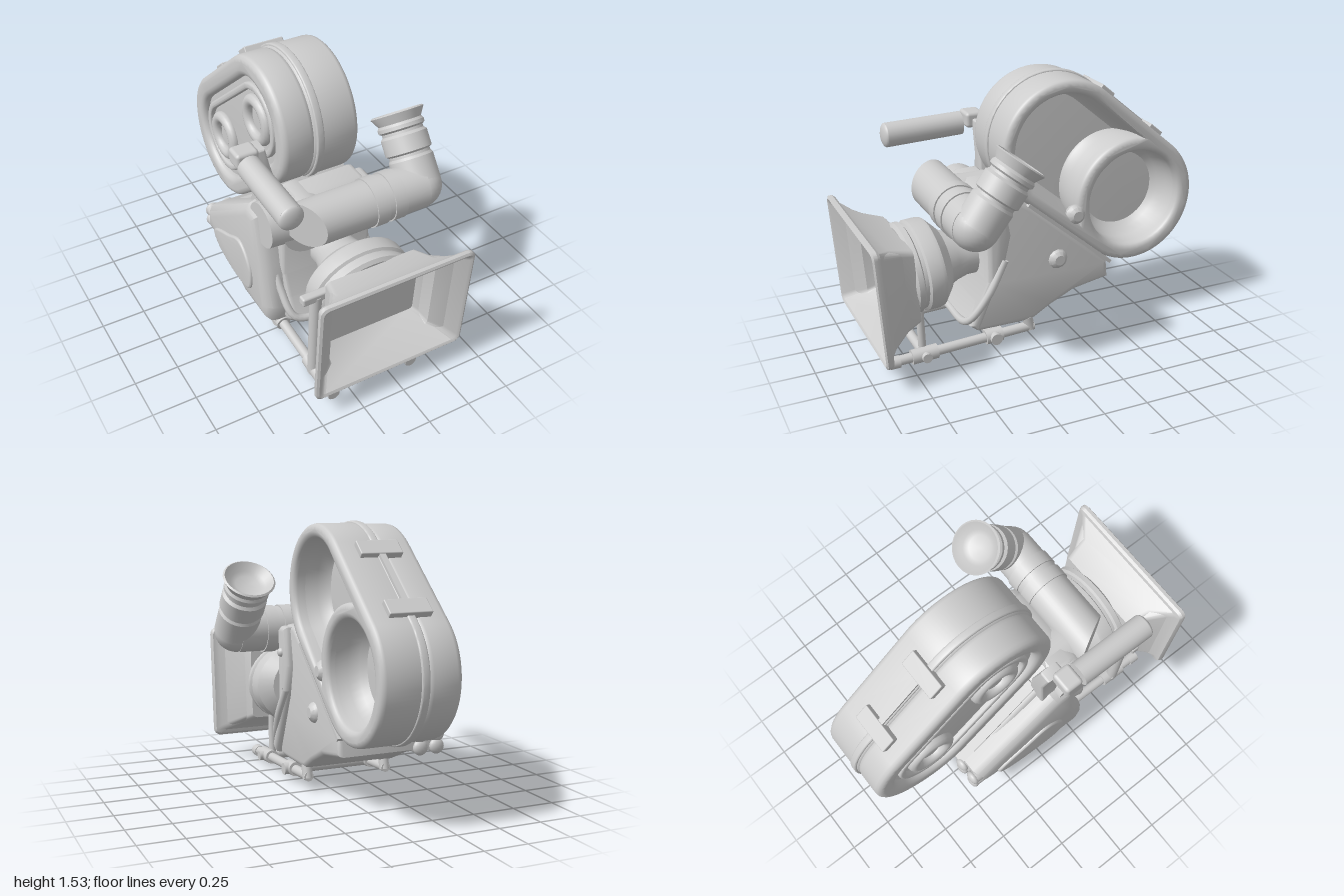
import * as THREE from 'three';
import { toCreasedNormals } from 'three/addons/utils/BufferGeometryUtils.js';
import { RoundedBoxGeometry } from 'three/addons/geometries/RoundedBoxGeometry.js';

const mat = new THREE.MeshStandardMaterial({ color: 0xcccccc, side: THREE.DoubleSide });
const V = (x, y, z) => new THREE.Vector3(x, y, z);
const UP = V(0, 1, 0);

function add(parent, name, geo, x = 0, y = 0, z = 0) {
  const m = new THREE.Mesh(geo, mat);
  m.name = name;
  m.position.set(x, y, z);
  parent.add(m);
  return m;
}

// Round bar between two points
function bar(parent, name, a, b, r, r2 = r, seg = 20) {
  const d = b.clone().sub(a);
  const m = add(parent, name, new THREE.CylinderGeometry(r2, r, d.length(), seg));
  m.position.copy(a).add(b).multiplyScalar(0.5);
  m.quaternion.setFromUnitVectors(UP, d.normalize());
  return m;
}

// Turned part: profile of [radius, distance] along an axis
function turned(parent, name, profile, origin, axis, seg = 32) {
  const pts = profile.map(([r, d]) => new THREE.Vector2(r, d));
  const geo = toCreasedNormals(new THREE.LatheGeometry(pts, seg), 0.5);
  const m = add(parent, name, geo, origin.x, origin.y, origin.z);
  m.quaternion.setFromUnitVectors(UP, axis.clone().normalize());
  return m;
}

// Bevelled slab whose outline keeps its size; local z runs from z0 to z1
function slab(shape, z0, z1, bevel) {
  const geo = new THREE.ExtrudeGeometry(shape, {
    depth: z1 - z0 - 2 * bevel, bevelThickness: bevel, bevelSize: bevel,
    bevelOffset: -bevel, bevelSegments: 3, curveSegments: 24,
  });
  return toCreasedNormals(geo.translate(0, 0, z0 + bevel), 0.6);
}

// Side outline of [z, y] points thickened along x
function sideSlab(parent, name, pts, x0, x1, bevel) {
  const shape = new THREE.Shape(pts.map(([z, y]) => new THREE.Vector2(-z, y)));
  const m = add(parent, name, slab(shape, x0, x1, bevel));
  m.rotation.y = Math.PI / 2;
  return m;
}

// Skin over closed rings with equal numbers of points
function loft(rings) {
  const n = rings[0].length, idx = [];
  for (let k = 0; k < rings.length - 1; k++) for (let i = 0; i < n; i++) {
    const a = k * n + i, b = k * n + (i + 1) % n;
    idx.push(a, b, b + n, a, b + n, a + n);
  }
  const geo = new THREE.BufferGeometry().setFromPoints(rings.flat());
  geo.setIndex(idx);
  return toCreasedNormals(geo, 0.6);
}

// Rounded rectangle ring
function rectRing([w, h, z, c], per = 5) {
  const ring = [];
  for (let q = 0; q < 4; q++) for (let i = 0; i < per; i++) {
    const a = (q + i / (per - 1)) * Math.PI / 2;
    const sx = q === 0 || q === 3 ? 1 : -1, sy = q < 2 ? 1 : -1;
    ring.push(V(sx * (w - c) + c * Math.cos(a), sy * (h - c) + c * Math.sin(a), z));
  }
  return ring;
}

const L = 0.575; // distance between the two reel centres

function stadium(r, Type = THREE.Shape) {
  const s = new Type();
  s.absarc(0, 0, r, Math.PI / 2, Math.PI * 1.5, false);
  s.absarc(L, 0, r, -Math.PI / 2, Math.PI / 2, false);
  s.closePath();
  return s;
}

function magazine() {
  const g = new THREE.Group();
  g.name = 'filmMagazine';
  // Local x joins the reel centres, local z is the model's left
  const s = V(0, -0.643, -0.766), t = V(0, 0.766, -0.643);
  g.quaternion.setFromRotationMatrix(new THREE.Matrix4().makeBasis(s, t, V(1, 0, 0)));
  g.position.set(0, 1.15, -0.18);

  // Left half: crescent recess and round recess, both with bowl-shaped walls
  const left = stadium(0.375);
  const ri = 0.3, ro = 0.365, dx = Math.sqrt(ro * ro - ri * ri), a = Math.atan2(ri, -dx);
  const crescent = new THREE.Path();
  crescent.absarc(0, 0, ri, Math.PI / 2, Math.PI * 1.5, false);
  crescent.absarc(L, 0, ro, -a, -2 * Math.PI + a, true);
  crescent.closePath();
  const round = new THREE.Path();
  round.absarc(L, 0, 0.285, 0, Math.PI * 2, false);
  left.holes.push(crescent, round);
  add(g, 'leftHalf', slab(left, -0.1, 0.175, 0.03));
  const outline = crescent.getPoints(24);
  add(g, 'crescentBowl', loft([[1, 0.1], [0.96, 0.03], [0.88, -0.03], [0.74, -0.065], [0.5, -0.078]].map(
    ([k, z]) => outline.map(p => V(-0.03 + (p.x + 0.03) * k, p.y * k, z)))));
  turned(g, 'roundBowl', [[0.285, 0.12], [0.278, 0.05], [0.255, -0.01], [0.2, -0.06], [0.12, -0.078], [0, -0.079]],
    V(L, 0, 0), V(0, 0, 1), 40);

  add(g, 'seamRidge', slab(stadium(0.385), -0.085, -0.04, 0.008));
  add(g, 'middleWall', slab(stadium(0.35), -0.235, -0.08, 0.005));

  // Right half: sunken panel with inner frame and two hubs
  const right = stadium(0.368);
  right.holes.push(stadium(0.25, THREE.Path));
  add(g, 'rightHalf', slab(right, -0.28, -0.08, 0.035));
  const frame = stadium(0.215);
  frame.holes.push(stadium(0.175, THREE.Path));
  add(g, 'innerFrame', slab(frame, -0.265, -0.22, 0.012));
  for (const x of [0, L]) {
    add(g, 'hubRing', new THREE.TorusGeometry(0.115, 0.035, 12, 32), x, 0, -0.245);
    bar(g, 'hubCore', V(x, 0, -0.22), V(x, 0, -0.25), 0.06, 0.05);
  }

  // Latches over the seam
  for (const x of [0.07, 0.49]) add(g, 'latch', new RoundedBoxGeometry(0.1, 0.05, 0.24, 2, 0.006), x, 0.38, -0.06);
  add(g, 'latchStrip', new THREE.BoxGeometry(0.42, 0.03, 0.035), 0.28, 0.385, -0.06);
  return g;
}

function lensAssembly() {
  const g = new THREE.Group();
  g.name = 'lensAssembly';
  g.position.set(-0.06, 0.52, 0.5);
  g.rotation.x = 0.07; // nose slightly down
  const o = V(0, 0, 0), front = V(0, 0, 1);
  turned(g, 'lensBarrel', [[0.13, -0.28], [0.125, -0.14], [0.14, -0.08], [0.165, -0.02], [0.18, 0.04]], o, front);
  const ring = turned(g, 'lensRing', [[0.1, -0.01], [0.18, -0.01], [0.245, 0.05], [0.25, 0.07], [0.25, 0.14],
    [0.235, 0.15], [0.235, 0.17], [0.25, 0.18], [0.25, 0.21], [0.23, 0.225], [0, 0.225]], o, front);
  ring.scale.x = 1.2;
  add(g, 'matteBox', loft([
    [0.05, 0.05, 0.215, 0.02], [0.275, 0.215, 0.215, 0.03], [0.31, 0.262, 0.35, 0.03], [0.41, 0.31, 0.43, 0.03],
    [0.445, 0.33, 0.435, 0.03], [0.453, 0.343, 0.45, 0.04], [0.453, 0.343, 0.47, 0.04], [0.44, 0.33, 0.478, 0.035],
    [0.425, 0.315, 0.47, 0.03], [0.27, 0.21, 0.25, 0.02], [0.001, 0.001, 0.25, 0.0005],
  ].map(r => rectRing(r))));
  return g;
}

function viewfinder() {
  const g = new THREE.Group();
  g.name = 'viewfinder';
  const y = 0.885, z = 0.45, r = 0.13;
  // Cross tube with a slanted flat end
  const tube = new THREE.CylinderGeometry(r, r, 0.7, 32).rotateZ(Math.PI / 2).translate(0.05, 0, 0);
  const p = tube.attributes.position;
  for (let i = 0; i < p.count; i++) if (p.getX(i) < 0) p.setX(i, -0.31 + 0.55 * p.getZ(i));
  add(g, 'crossTube', toCreasedNormals(tube, 0.6), 0, y, z);
  for (const [a, b] of [[0.065, 0.14], [0.175, 0.25]]) bar(g, 'tubeRing', V(a, y, z), V(b, y, z), 0.138, 0.138, 28);
  add(g, 'eyeElbow', new THREE.SphereGeometry(0.127, 28, 16), 0.402, y, z);
  turned(g, 'eyepiece', [[0.125, 0], [0.125, 0.15], [0.115, 0.165], [0.115, 0.18], [0.13, 0.19], [0.13, 0.28],
    [0.115, 0.295], [0.115, 0.31], [0.13, 0.32], [0.13, 0.34], [0.12, 0.355], [0.15, 0.405], [0.14, 0.412],
    [0.1, 0.375], [0.07, 0.36], [0, 0.36]], V(0.405, y, z), V(0, 0.79, -0.61));
  // Neck joining the tube to the body
  bar(g, 'bodyNeck', V(-0.22, 0.775, 0.14), V(-0.22, 0.775, 0.36), 0.16, 0.16, 32);
  return g;
}

function supportRods() {
  const g = new THREE.Group();
  g.name = 'supportRods';
  for (const x of [-0.36, 0.13]) {
    bar(g, 'rod', V(x, 0.04, 0.87), V(x, 0.085, 0), 0.028);
    bar(g, 'rodTip', V(x, 0.037, 0.87), V(x, 0.039, 0.81), 0.035);
    bar(g, 'frontClamp', V(x, 0.047, 0.74), V(x, 0.055, 0.59), 0.042);
    bar(g, 'rearClamp', V(x, 0.07, 0.3), V(x, 0.077, 0.2), 0.042);
    bar(g, 'rearFoot', V(x, 0.07, 0.02), V(x, 0.15, 0.04), 0.03);
  }
  bar(g, 'frontCrossbar', V(-0.4, 0.052, 0.665), V(0.19, 0.052, 0.665), 0.028);
  bar(g, 'middleCrossbar', V(-0.4, 0.074, 0.25), V(0.19, 0.074, 0.25), 0.034);
  bar(g, 'lensPost', V(0.1, 0.05, 0.665), V(0.1, 0.36, 0.675), 0.022);
  bar(g, 'sidePost', V(-0.37, 0.05, 0.665), V(-0.37, 0.62, 0.69), 0.034);
  add(g, 'postArm', new RoundedBoxGeometry(0.19, 0.05, 0.05, 2, 0.012), -0.365, 0.62, 0.695);
  return g;
}

function handle() {
  const g = new THREE.Group();
  g.name = 'handle';
  bar(g, 'grip', V(-0.48, 1.155, 0.19), V(-0.48, 1.14, 0.64), 0.068, 0.07, 24);
  add(g, 'gripEnd', new THREE.SphereGeometry(0.07, 24, 12), -0.48, 1.14, 0.64).scale.z = 0.4;
  add(g, 'gripBracket', new RoundedBoxGeometry(0.13, 0.09, 0.11, 2, 0.02), -0.475, 1.18, 0.12);
  const arm = new THREE.Shape([[-0.43, 1.19], [-0.36, 1.19], [-0.335, 1.08], [-0.3, 0.95], [-0.29, 0.74],
    [-0.41, 0.74], [-0.39, 1.0]].map(p => new THREE.Vector2(...p)));
  add(g, 'arm', slab(arm, 0.03, 0.14, 0.012));
  return g;
}

export function createModel() {
  const root = new THREE.Group();
  root.name = 'filmCamera';

  // Body, wider front housing and bulging right cover
  sideSlab(root, 'body', [[0.31, 0.91], [0.27, 0.93], [0.16, 0.93], [0.02, 0.83], [-0.46, 0.42], [-0.47, 0.31],
    [-0.25, 0.27], [-0.1, 0.2], [0, 0.14], [0.05, 0.13], [0.35, 0.13], [0.42, 0.19], [0.3, 0.42]], -0.36, 0.16, 0.03);
  sideSlab(root, 'frontHousing', [[0.31, 0.9], [0.28, 0.92], [0.2, 0.92], [0.16, 0.7], [0.2, 0.52], [0.36, 0.15],
    [0.41, 0.19], [0.3, 0.44]], -0.36, 0.2, 0.03);
  sideSlab(root, 'rightCover', [[0.22, 0.84], [0.08, 0.84], [-0.46, 0.44], [-0.47, 0.3],
    [-0.2, 0.23], [0.02, 0.13], [0.31, 0.13], [0.34, 0.25], [0.27, 0.5]], -0.475, -0.26, 0.07);
  const panel = new THREE.CatmullRomCurve3([[0.14, 0.42], [0.02, 0.53], [-0.13, 0.47], [-0.33, 0.36], [-0.28, 0.29],
    [-0.02, 0.23], [0.13, 0.26]].map(([z, y]) => V(z, y, 0)), true);
  sideSlab(root, 'coverPanel', panel.getPoints(40).slice(0, -1).map(p => [p.x, p.y]), -0.49, -0.45, 0.012);
  bar(root, 'coverDisc', V(-0.28, 0.79, 0.24), V(-0.45, 0.79, 0.24), 0.14, 0.13, 28);

  // Curved guard under the lens
  const guard = new THREE.CatmullRomCurve3([V(0.19, 0.56, 0.2), V(0.2, 0.36, 0.31), V(0.15, 0.21, 0.41),
    V(-0.1, 0.18, 0.42), V(-0.34, 0.21, 0.41), V(-0.38, 0.36, 0.31), V(-0.38, 0.54, 0.21)]);
  add(root, 'lensGuard', new THREE.TubeGeometry(guard, 48, 0.022, 10));

  // Mounting plate beneath the magazine
  const plate = add(root, 'magazinePlate', new THREE.BoxGeometry(0.5, 0.02, 0.68), -0.08, 0.63, -0.215);
  plate.rotation.x = -0.7;

  // Knobs on the left side
  for (const [y, z] of [[0.74, -0.25], [0.49, -0.14]])
    turned(root, 'knob', [[0.045, -0.03], [0.062, 0.01], [0.05, 0.03], [0.03, 0.045], [0, 0.045]], V(0.145, y, z), V(1, 0, 0), 12);
  add(root, 'smallButton', new THREE.SphereGeometry(0.027, 16, 10), 0.195, 0.77, 0.25);

  // Four connectors at the back
  for (const x of [-0.425, -0.325]) for (const y of [0.32, 0.39]) {
    bar(root, 'connector', V(x, y, -0.4), V(x, y, -0.48), 0.04);
    add(root, 'connectorCap', new THREE.SphereGeometry(0.044, 16, 10), x, y, -0.475).scale.z = 0.6;
  }

  root.add(magazine(), lensAssembly(), viewfinder(), supportRods(), handle());
  return root;
}
